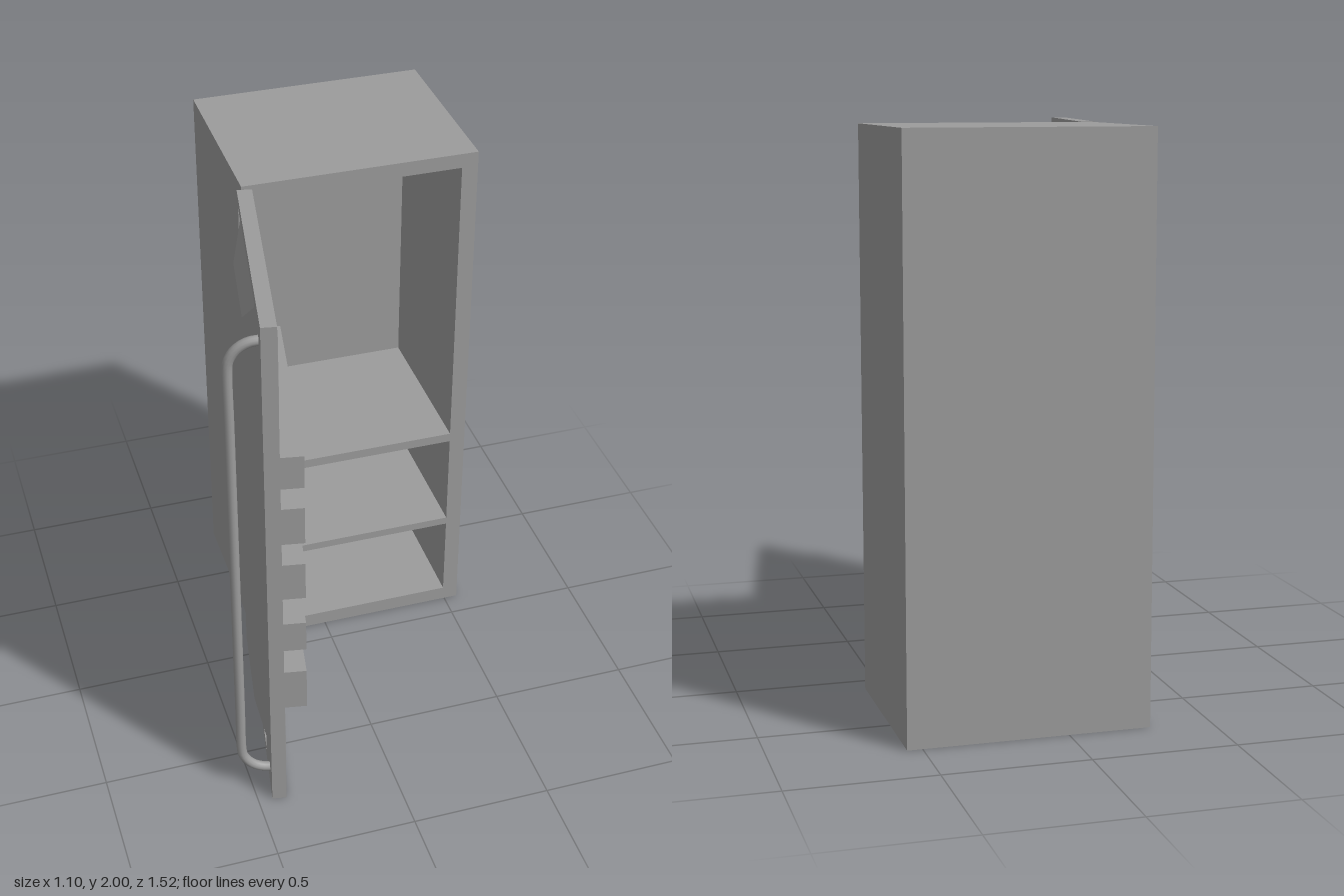
import * as THREE from 'three';

const material = new THREE.MeshStandardMaterial({ color: 0x9c9c9c });

function add(parent, name, geometry) {
  const mesh = new THREE.Mesh(geometry, material);
  mesh.name = name;
  parent.add(mesh);
  return mesh;
}

// Box given by its minimum and maximum corners
function block(parent, name, [x0, y0, z0], [x1, y1, z1]) {
  const mesh = add(parent, name, new THREE.BoxGeometry(x1 - x0, y1 - y0, z1 - z0));
  mesh.position.set((x0 + x1) / 2, (y0 + y1) / 2, (z0 + z1) / 2);
  return mesh;
}

// Raised panel whose side edges slope in towards its face (side: +1 or -1 along x)
function bevelledPad(parent, name, min, max, side, bevel) {
  const mesh = block(parent, name, min, max);
  const p = mesh.geometry.attributes.position;
  for (let i = 0; i < p.count; i++) {
    if (p.getX(i) * side < 0) continue;
    p.setY(i, p.getY(i) - Math.sign(p.getY(i)) * bevel);
    p.setZ(i, p.getZ(i) - Math.sign(p.getZ(i)) * bevel);
  }
  mesh.geometry.computeVertexNormals();
}

// Rectangular frame with rectangular openings, extruded along z
function frame([x0, y0, x1, y1], openings, depth) {
  const corners = ([a, b, c, d]) => [[a, b], [c, b], [c, d], [a, d]].map(q => new THREE.Vector2(...q));
  const shape = new THREE.Shape(corners([x0, y0, x1, y1]));
  for (const o of openings) shape.holes.push(new THREE.Path(corners(o).reverse()));
  return new THREE.ExtrudeGeometry(shape, { depth, bevelEnabled: false });
}

export function createModel() {
  const model = new THREE.Group();
  model.name = 'refrigerator';

  // Cabinet with three compartments
  const cabinet = new THREE.Group();
  cabinet.name = 'cabinet';
  model.add(cabinet);
  const compartments = [[0.055, 0.385], [0.415, 0.785], [0.82, 1.947]];
  const shell = add(cabinet, 'cabinetShell',
    frame([-0.285, 0, 0.552, 2], compartments.map(([a, b]) => [-0.225, a, 0.494, b]), 0.61));
  shell.position.z = -0.70;
  block(cabinet, 'backWall', [-0.285, 0, -0.757], [0.552, 2, -0.70]);

  // Open door: local z runs from hinge to free edge, local +x is the inner side
  const door = new THREE.Group();
  door.name = 'door';
  door.position.set(-0.305, 0, -0.072);
  door.rotation.y = -THREE.MathUtils.degToRad(10);
  model.add(door);
  const width = 0.834;
  block(door, 'doorPanel', [0.005, 0, 0], [0.051, 2, width]);

  // Outer skin with a shallow recess around the raised panel
  const skin = add(door, 'doorOuterFrame', frame([-width, 0, 0, 2], [[-0.63, 0.04, -0.045, 1.96]], 0.005));
  skin.rotation.y = Math.PI / 2;
  bevelledPad(door, 'outerRaisedPanel', [-0.03, 0.07, 0.065], [0.005, 1.93, 0.605], -1, 0.105);

  // Inner raised panels above and below the bins
  for (const [y0, y1] of [[0.04, 0.37], [1.60, 1.96]])
    bevelledPad(door, 'innerRaisedPanel', [0.051, y0, 0.042], [0.06, y1, 0.79], 1, 0.045);

  // Door bins
  const bins = [[0.40, 0.565], [0.665, 0.785], [0.895, 1.042], [1.13, 1.275], [1.357, 1.482]];
  for (const [y0, y1] of bins)
    block(door, 'doorBin', [0.051, y0, 0.038], [0.132, y1, 0.79]);

  // Long handle with rounded ends
  const u = 0.755, reach = -0.098, low = 0.085, high = 1.905, r = 0.098;
  const v = (x, y) => new THREE.Vector3(x, y, u);
  const points = [v(0.01, low)];
  for (let i = 0; i <= 6; i++) {
    const a = (i / 6) * Math.PI / 2;
    points.push(v(reach + r - r * Math.sin(a), low + r - r * Math.cos(a)));
  }
  points.push(v(reach, 0.4), v(reach, 0.995));
  const mirrored = points.slice(0, -1).reverse().map(p => v(p.x, low + high - p.y));
  const path = new THREE.CatmullRomCurve3([...points, ...mirrored]);
  add(door, 'handle', new THREE.TubeGeometry(path, 120, 0.017, 12));

  return model;
}
